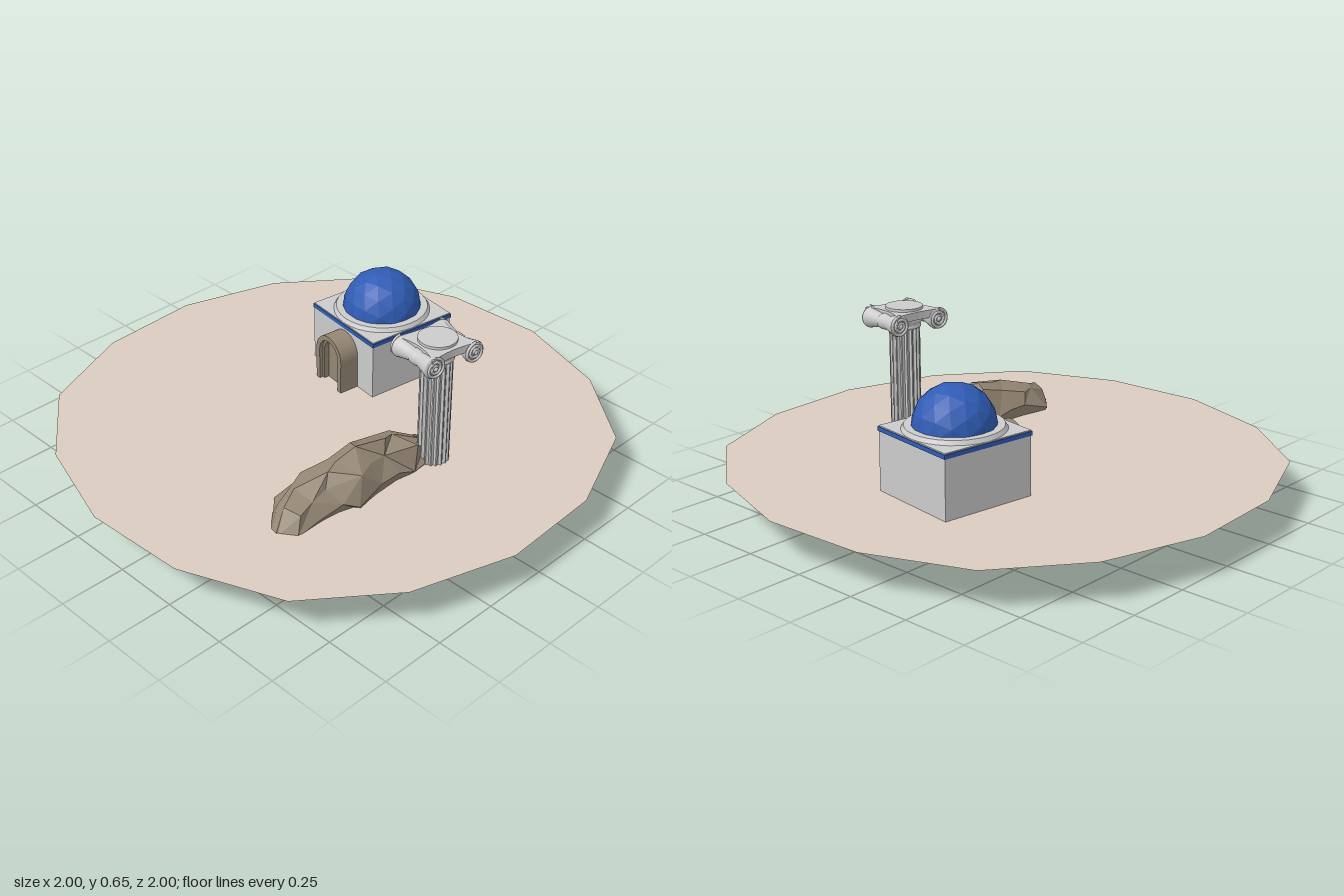
import * as THREE from 'three';

const mat = (color, flatShading = false, side = THREE.FrontSide) =>
  new THREE.MeshStandardMaterial({ color, flatShading, side });
const stone = mat(0xcccccc), wall = mat(0xcccccc, true), blue = mat(0x2f5cb4, true);
const rockMat = mat(0x958775, true), archMat = mat(0x958775, true);
const GROUND = 0.15, TURN = -0.14;

function add(parent, name, geometry, material, x = 0, y = 0, z = 0) {
  const mesh = new THREE.Mesh(geometry, material);
  mesh.name = name;
  mesh.position.set(x, y, z);
  parent.add(mesh);
  return mesh;
}

const lathe = (pts, segments = 32) =>
  new THREE.LatheGeometry(pts.map(p => new THREE.Vector2(...p)), segments);

// Sixteen-sided ground sheet: one quarter of the outline, turned four times
function createGround(root) {
  const quarter = [[0.136, 1], [0.52, 0.88], [0.826, 0.64], [0.98, 0.265]];
  const pts = [];
  for (let q = 0; q < 4; q++) {
    for (const [x, y] of quarter) {
      const [a, b] = [[x, y], [y, -x], [-x, -y], [-y, x]][q];
      pts.push(new THREE.Vector2(a, b));
    }
  }
  const geo = new THREE.ShapeGeometry(new THREE.Shape(pts)).rotateX(-Math.PI / 2);
  add(root, 'ground', geo, mat(0xdaccc0, true, THREE.DoubleSide), 0, GROUND, 0);
}

// Arch outline: straight jambs and a half-round head
function archPath(PathType, halfWidth, y0, spring) {
  const p = new PathType();
  p.moveTo(-halfWidth, y0);
  p.lineTo(halfWidth, y0);
  p.lineTo(halfWidth, spring);
  p.absarc(0, spring, halfWidth, 0, Math.PI, false);
  p.lineTo(-halfWidth, y0);
  return p;
}

function createHouse(root) {
  const house = new THREE.Group();
  house.name = 'house';
  house.position.set(0.405, 0, -0.14);
  house.rotation.y = TURN;
  root.add(house);

  add(house, 'walls', new THREE.BoxGeometry(0.37, 0.26, 0.37), wall, 0, 0.26, 0);
  add(house, 'roofTrim', new THREE.BoxGeometry(0.376, 0.016, 0.376), blue, 0, 0.378, 0);
  add(house, 'domeRing', new THREE.CylinderGeometry(0.175, 0.185, 0.016, 32), stone, 0, 0.397, 0);
  add(house, 'dome', new THREE.IcosahedronGeometry(0.15, 2), blue, 0, 0.4, 0);

  // Doorway on the -x wall: outer surround, stepped inner surround, door leaf
  const doorway = new THREE.Group();
  doorway.name = 'doorway';
  doorway.position.set(-0.265, 0, 0.015);
  doorway.rotation.y = Math.PI / 2;
  house.add(doorway);
  const layers = [
    ['archSurround', 0.077, 0.057, 0.16, 0],
    ['innerArch', 0.057, 0.046, 0.14, 0.015],
    ['door', 0.046, 0, 0.12, 0.035],
  ];
  for (const [name, outer, inner, depth, inset] of layers) {
    const shape = archPath(THREE.Shape, outer, 0.118, 0.283);
    if (inner) shape.holes.push(archPath(THREE.Path, inner, 0.122, 0.283));
    const geo = new THREE.ExtrudeGeometry(shape, { depth, bevelEnabled: false, curveSegments: 10 });
    add(doorway, name, geo, archMat, 0, 0, inset);
  }
}

// Fluted shaft section: hollows between narrow fillets
function flutedShape(radius, flutes) {
  const pts = [];
  const depths = [0, 0, 0.09, 0.13, 0.09];
  for (let i = 0; i < flutes; i++) {
    depths.forEach((d, k) => {
      const a = ((i + k / depths.length) / flutes) * Math.PI * 2;
      const r = radius * (1 - d);
      pts.push(new THREE.Vector2(r * Math.cos(a), r * Math.sin(a)));
    });
  }
  return new THREE.Shape(pts);
}

class Spiral extends THREE.Curve {
  getPoint(t, target = new THREE.Vector3()) {
    const a = Math.PI / 2 + t * Math.PI * 4.5, r = 0.039 - 0.031 * t;
    return target.set(r * Math.cos(a), r * Math.sin(a), 0);
  }
}

function createColumn(root) {
  const column = new THREE.Group();
  column.name = 'column';
  column.position.set(0.077, 0, 0.435);
  column.rotation.y = TURN;
  root.add(column);

  add(column, 'base', lathe([[0, 0], [0.078, 0], [0.081, 0.008], [0.078, 0.016], [0.068, 0.02],
    [0.068, 0.026], [0.073, 0.031], [0.072, 0.039], [0.062, 0.045], [0, 0.045]]), stone);
  const shaft = new THREE.ExtrudeGeometry(flutedShape(0.058, 18), { depth: 0.55, bevelEnabled: false });
  add(column, 'shaft', shaft.rotateX(-Math.PI / 2), wall, 0, 0.04, 0);
  add(column, 'neck', lathe([[0.055, 0.572], [0.062, 0.576], [0.062, 0.584], [0.058, 0.588],
    [0.072, 0.604], [0.078, 0.62], [0, 0.62]]), stone);

  // Capital slab with four hollowed sides
  const w = 0.105, d = 0.1, slab = new THREE.Shape();
  slab.moveTo(-w, -d);
  slab.quadraticCurveTo(0, -d + 0.03, w, -d);
  slab.quadraticCurveTo(w - 0.05, 0, w, d);
  slab.quadraticCurveTo(0, d - 0.03, -w, d);
  slab.quadraticCurveTo(-w + 0.05, 0, -w, -d);
  const slabGeo = new THREE.ExtrudeGeometry(slab, { depth: 0.03, bevelEnabled: false, curveSegments: 10 });
  add(column, 'capitalSlab', slabGeo.rotateX(-Math.PI / 2), wall, 0, 0.615, 0);
  add(column, 'topDisc', new THREE.CylinderGeometry(0.07, 0.07, 0.02, 32), stone, 0, 0.645, 0);

  // Waisted scroll rolls on both sides with spirals front and back
  const roll = lathe([[0, -0.095], [0.038, -0.095], [0.041, -0.085], [0.034, -0.06], [0.025, -0.02],
    [0.029, -0.012], [0.029, 0.012], [0.025, 0.02], [0.034, 0.06], [0.041, 0.085], [0.038, 0.095],
    [0, 0.095]], 24).rotateX(Math.PI / 2);
  const spiral = new THREE.TubeGeometry(new Spiral(), 60, 0.0055, 6);
  const eye = new THREE.SphereGeometry(0.01, 12, 8);
  for (const sx of [-1, 1]) {
    add(column, 'scrollRoll', roll, stone, sx * 0.088, 0.607, 0);
    for (const sz of [-1, 1]) {
      const scroll = add(column, 'scrollSpiral', spiral, stone, sx * 0.088, 0.607, sz * 0.096);
      if (sx * sz < 0) scroll.rotation.y = Math.PI;
      if (sz < 0) scroll.rotation.y = sx > 0 ? Math.PI : 0;
      if (sz > 0) scroll.rotation.y = sx > 0 ? 0 : Math.PI;
      add(column, 'scrollEye', eye, stone, sx * 0.088, 0.607, sz * 0.096);
    }
  }
}

// Long boulder lofted through sections: x, back z, front z, top y
function createRock(root) {
  const sections = [
    [-0.62, 0.33, 0.385, 0.15], [-0.56, 0.275, 0.425, 0.22], [-0.48, 0.222, 0.43, 0.243],
    [-0.39, 0.235, 0.44, 0.275], [-0.31, 0.24, 0.47, 0.282], [-0.22, 0.24, 0.46, 0.3],
    [-0.12, 0.248, 0.452, 0.287], [-0.02, 0.25, 0.455, 0.255], [0.06, 0.3, 0.445, 0.21],
    [0.12, 0.34, 0.41, 0.16],
  ];
  const ring = [[0.06, 0], [0, 0.42], [0.2, 0.85], [0.5, 1], [0.8, 0.8], [1, 0.35], [0.9, 0]];
  const n = ring.length, pos = [], idx = [];
  sections.forEach(([x, back, front, top], i) => ring.forEach(([u, v], k) => {
    const wobble = Math.sin(i * 4.1 + k * 2.7);
    const inner = k > 1 && k < 5 ? 1 : 0;
    const end = i === 0 || i === sections.length - 1 ? 0 : 1;
    pos.push(x + 0.018 * wobble * end,
      0.12 + (top - 0.12) * (v + (k === 3 ? 0 : 0.1 * wobble * Math.sign(v))),
      back + (front - back) * (u + 0.1 * inner * wobble));
  }));
  for (let i = 0; i < sections.length - 1; i++) {
    for (let k = 0; k < n; k++) {
      const a = i * n + k, b = i * n + (k + 1) % n, c = a + n, d = b + n;
      if ((i + k) % 2) idx.push(a, c, b, b, c, d);
      else idx.push(a, c, d, a, d, b);
    }
  }
  const last = (sections.length - 1) * n;
  for (let k = 1; k < n - 1; k++) {
    idx.push(0, k, k + 1);
    idx.push(last, last + k + 1, last + k);
  }
  // Reverse the winding so that faces look outward
  for (let i = 0; i < idx.length; i += 3) [idx[i + 1], idx[i + 2]] = [idx[i + 2], idx[i + 1]];
  const geo = new THREE.BufferGeometry();
  geo.setAttribute('position', new THREE.Float32BufferAttribute(pos, 3));
  geo.setIndex(idx);
  geo.computeVertexNormals();
  const windingCheck = signedVolume(pos, idx);
  if (windingCheck < 0) {
    geo.setIndex(idx.slice().reverse());
    geo.computeVertexNormals();
  }
  add(root, 'boulder', geo, rockMat);

  // Small stones beside the column
  const stones = [[0.1, 0.315, 0.028], [0.135, 0.335, 0.024], [0.165, 0.35, 0.02], [0.15, 0.37, 0.022], [0.07, 0.31, 0.03]];
  stones.forEach(([x, z, r], i) => {
    const pebble = add(root, 'pebble', new THREE.IcosahedronGeometry(r, 0), rockMat, x, GROUND, z);
    pebble.scale.set(1.1, 0.8, 0.9);
    pebble.rotation.y = i * 1.3;
  });
}

// Volume enclosed by triangles, positive when they face outward
function signedVolume(pos, idx) {
  const p = i => new THREE.Vector3().fromArray(pos, idx[i] * 3);
  let v = 0;
  for (let i = 0; i < idx.length; i += 3) v += p(i).dot(p(i + 1).cross(p(i + 2)));
  return v;
}

export function createModel() {
  const root = new THREE.Group();
  root.name = 'ruinsScene';
  createGround(root);
  createHouse(root);
  createColumn(root);
  createRock(root);
  return root;
}
